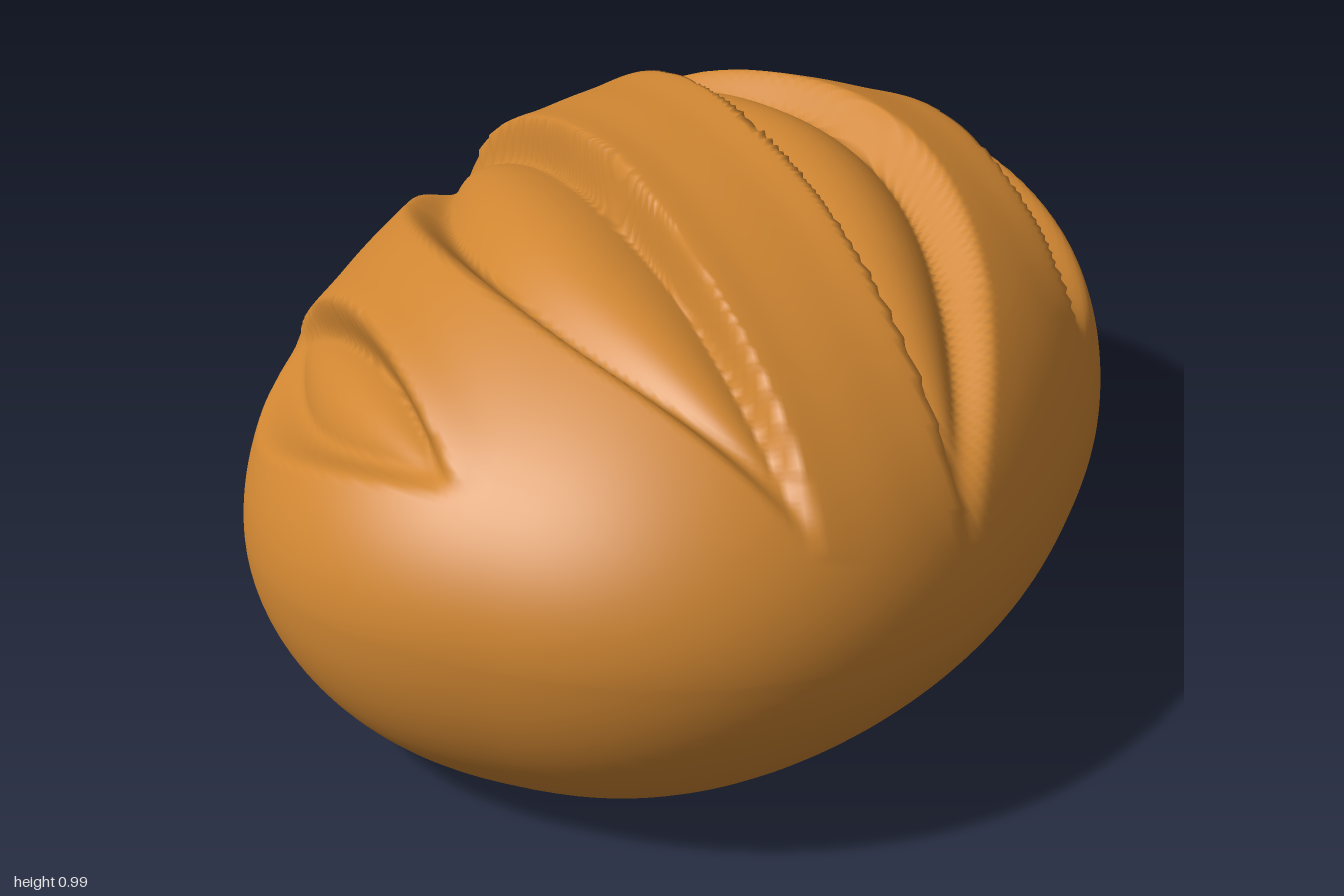
import * as THREE from 'three';

const SEG = 280, TOP = 90, SIDE = 24, HOLLOW = 24;
const RIM = 0.62; // rim of the hollow as a fraction of the outline

const smooth = THREE.MathUtils.smoothstep;

// Diagonal cuts: n runs across the cuts, t along them; each is a lens from a
// straight edge (n0) to a bowed edge (n0 + width in the middle).
const CUTS = [
  { n0: 0.155, width: 0.34, t0: -0.02, half: 0.86, depth: 0.11 },
  { n0: 0.68, width: 0.19, t0: -0.1, half: 0.45, depth: 0.1 },
];

// How far the crust sinks (positive) or lifts (negative) at a point seen from above
function cutDepth(x, z) {
  let n = (x - z) / Math.SQRT2, t = (x + z) / Math.SQRT2;
  if (n < 0) { n = -n; t = -t; } // the loaf repeats after half a turn
  let sum = 0;
  for (const c of CUTS) {
    const s = 1 - ((t - c.t0) / c.half) ** 2;
    if (s <= 0) continue;
    const taper = Math.sqrt(s), n1 = c.n0 + c.width * s;
    const w = THREE.MathUtils.clamp((n - c.n0) / (n1 - c.n0 + 1e-4), 0, 1);
    const edges = smooth(n, c.n0, c.n0 + 0.025) * (1 - smooth(n, n1 - 0.035, n1 + 0.01));
    sum += c.depth * taper * edges * (1 - 0.5 * Math.sin(Math.PI * w));
    // raised lip along the straight edge
    if (n <= c.n0) sum -= 0.014 * taper * Math.exp(-(((c.n0 - n) / 0.06) ** 2));
  }
  return sum;
}

function loafGeometry() {
  const pos = [], index = [];
  const rings = TOP + SIDE + HOLLOW;
  const bow = (v) => Math.sign(v) * Math.abs(v) ** (2 / 2.3);
  const p = new THREE.Vector3(), normal = new THREE.Vector3();

  for (let i = 0; i <= rings; i++) {
    for (let j = 0; j < SEG; j++) {
      const phi = (j / SEG) * Math.PI * 2, c = Math.cos(phi), s = Math.sin(phi);
      const ox = 0.785 * bow(c), oz = bow(s);
      const waist = 0.37 + 0.1 * s * s + 0.03 * c;
      const rimY = 0.02 + 0.04 * c + 0.1 * c * c;

      if (i <= TOP) { // domed crust with cuts
        const v = (i / TOP) * Math.PI / 2, r = Math.sin(v), h = Math.cos(v);
        p.set(ox * r, waist + (1 - waist) * h, oz * r);
        normal.set(p.x / 0.62, h / 0.6, p.z).normalize();
        p.addScaledVector(normal, -cutDepth(p.x, p.z) * smooth(h, 0.02, 0.25));
      } else if (i <= TOP + SIDE) { // rounded lower side
        const a = ((i - TOP) / SIDE) * Math.PI / 2;
        const r = RIM + (1 - RIM) * Math.cos(a);
        p.set(ox * r, waist - (waist - rimY) * Math.sin(a), oz * r);
      } else { // hollow underside
        const k = 1 - (i - TOP - SIDE) / HOLLOW;
        const y = rimY + (0.42 - rimY) * (1 - k * k) ** 1.2;
        p.set(ox * RIM * k, y, oz * RIM * k);
      }
      pos.push(p.x, p.y, p.z);

      if (i < rings) {
        const a = i * SEG + j, b = i * SEG + (j + 1) % SEG;
        if (i > 0) index.push(a, b, a + SEG);
        if (i < rings - 1) index.push(b, b + SEG, a + SEG);
        else index.push(a, b, a + SEG);
      }
    }
  }
  const g = new THREE.BufferGeometry();
  g.setAttribute('position', new THREE.Float32BufferAttribute(pos, 3));
  g.setIndex(index);
  g.computeBoundingBox();
  g.translate(0, -g.boundingBox.min.y, 0);
  g.computeVertexNormals();
  // the poles are flat
  for (let j = 0; j < SEG; j++) {
    g.attributes.normal.setXYZ(j, 0, 1, 0);
    g.attributes.normal.setXYZ(rings * SEG + j, 0, -1, 0);
  }
  return g;
}

export function createModel() {
  const group = new THREE.Group();
  group.name = 'breadLoaf';
  const crust = new THREE.MeshStandardMaterial({ color: 0xd08632 });
  crust.name = 'golden crust';
  const loaf = new THREE.Mesh(loafGeometry(), crust);
  loaf.name = 'loaf';
  group.add(loaf);
  return group;
}
